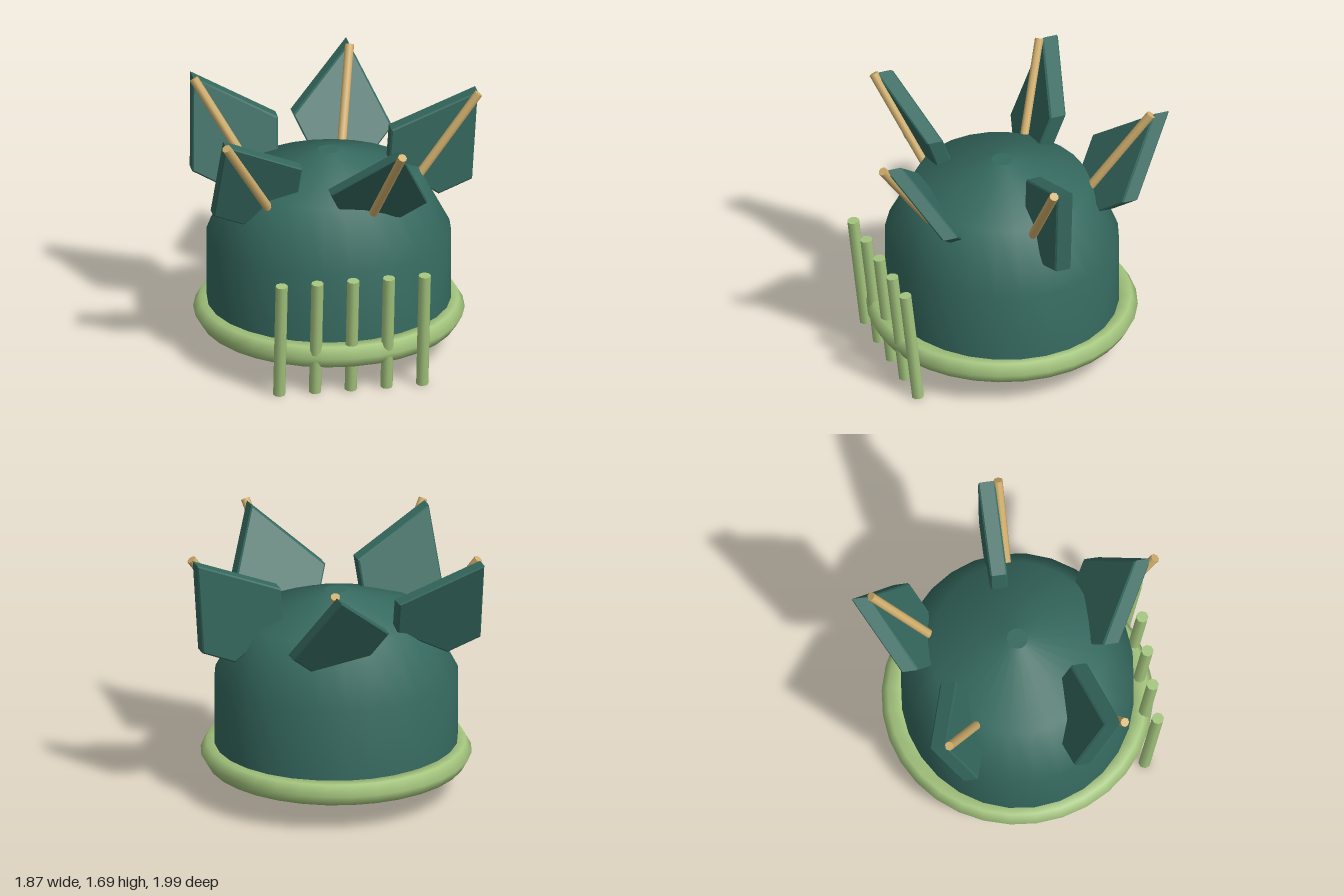
import * as THREE from 'three';

const mat = (name, color, side = THREE.FrontSide) => {
  const m = new THREE.MeshStandardMaterial({ color, side });
  m.name = name;
  return m;
};

export function createModel() {
  const model = new THREE.Group();
  model.name = 'spikedHelmet';
  const teal = mat('deep teal', 0x35695f);
  const green = mat('light green', 0xa4c57e);
  const gold = mat('tan gold', 0xd0ae6c);

  const add = (name, geometry, material, parent = model) => {
    const mesh = new THREE.Mesh(geometry, material);
    mesh.name = name;
    parent.add(mesh);
    return mesh;
  };

  // Rod between two points
  const rod = (name, a, b, radius, sides, material, parent) => {
    const dir = b.clone().sub(a);
    const mesh = add(name, new THREE.CylinderGeometry(radius, radius, dir.length(), sides), material, parent);
    mesh.position.copy(a).add(b).multiplyScalar(0.5);
    mesh.quaternion.setFromUnitVectors(new THREE.Vector3(0, 1, 0), dir.normalize());
    return mesh;
  };

  // Dome shell: slightly oval, straight walls and a faceted cap
  const cx = -0.065, cz = 0.03;
  const profile = [[0.785, 0.2], [0.785, 0.8], [0.585, 1.18], [0.07, 1.355]]
    .map(([x, y]) => new THREE.Vector2(x, y));
  const shell = new THREE.Group();
  shell.name = 'dome';
  shell.position.set(cx, 0, cz);
  shell.scale.z = 0.95;
  model.add(shell);
  add('domeShell', new THREE.LatheGeometry(profile, 28), teal, shell);
  const crown = add('domeCrown', new THREE.CircleGeometry(0.07, 28).rotateX(-Math.PI / 2), teal, shell);
  crown.position.y = 1.355;
  const base = add('domeBase', new THREE.CircleGeometry(0.785, 28).rotateX(Math.PI / 2), teal, shell);
  base.position.y = 0.2;

  // Brim ring with a six-sided section
  const brim = add('brimRing', new THREE.TorusGeometry(0.79, 0.08, 6, 32).rotateX(Math.PI / 2), green);
  brim.position.set(cx, 0.26, cz);

  // Face guard bars leaning forward
  const guard = new THREE.Group();
  guard.name = 'faceGuard';
  model.add(guard);
  for (let i = -2; i <= 2; i++) {
    const x = cx + i * 0.233;
    rod('guardBar', new THREE.Vector3(x, 0.005, 0.785), new THREE.Vector3(x, 0.795, 0.872), 0.04, 8, green, guard);
  }

  // Kite outline of a fin, with its tip at the origin
  const kite = new THREE.Shape(
    [[0, 0], [-0.325, -0.51], [-0.2, -0.71], [0.2, -0.71], [0.325, -0.51]]
      .map(([x, y]) => new THREE.Vector2(x, y)));
  const bevel = 0.01, thick = 0.11;

  // Five fins leaning outward, each with a rod along its front face
  const tilt = 0.628, reach = 0.967;
  const up = new THREE.Vector3(0, 1, 0);
  for (let i = 0; i < 5; i++) {
    const a = i * Math.PI * 2 / 5;
    const out = new THREE.Vector3(Math.cos(a), 0, -Math.sin(a));
    const along = out.clone().multiplyScalar(Math.sin(tilt)).addScaledVector(up, Math.cos(tilt));
    const lean = new THREE.Quaternion().setFromUnitVectors(up, along);
    const across = new THREE.Vector3(1, 0, 0).applyQuaternion(lean);
    const tip = new THREE.Vector3(-0.06, 1.67, -0.03).addScaledVector(out, reach);

    const fin = new THREE.Group();
    fin.name = 'finAssembly';
    model.add(fin);

    // The plate is always thick along z, so its outline is sheared to the lean
    const g = new THREE.ExtrudeGeometry(kite, {
      depth: thick - 2 * bevel, bevelEnabled: true, bevelThickness: bevel,
      bevelSize: bevel, bevelOffset: -bevel, bevelSegments: 1,
    });
    g.translate(0, 0, bevel - thick / 2);
    g.applyMatrix4(new THREE.Matrix4().makeBasis(across, along, new THREE.Vector3(0, 0, 1)));
    g.computeVertexNormals();
    add('finPlate', g, teal, fin).position.copy(tip);

    const end = tip.clone().add(new THREE.Vector3(0, 0, 0.075));
    rod('finRod', end.clone().addScaledVector(along, -0.66), end, 0.03, 8, gold, fin);
  }
  return model;
}
